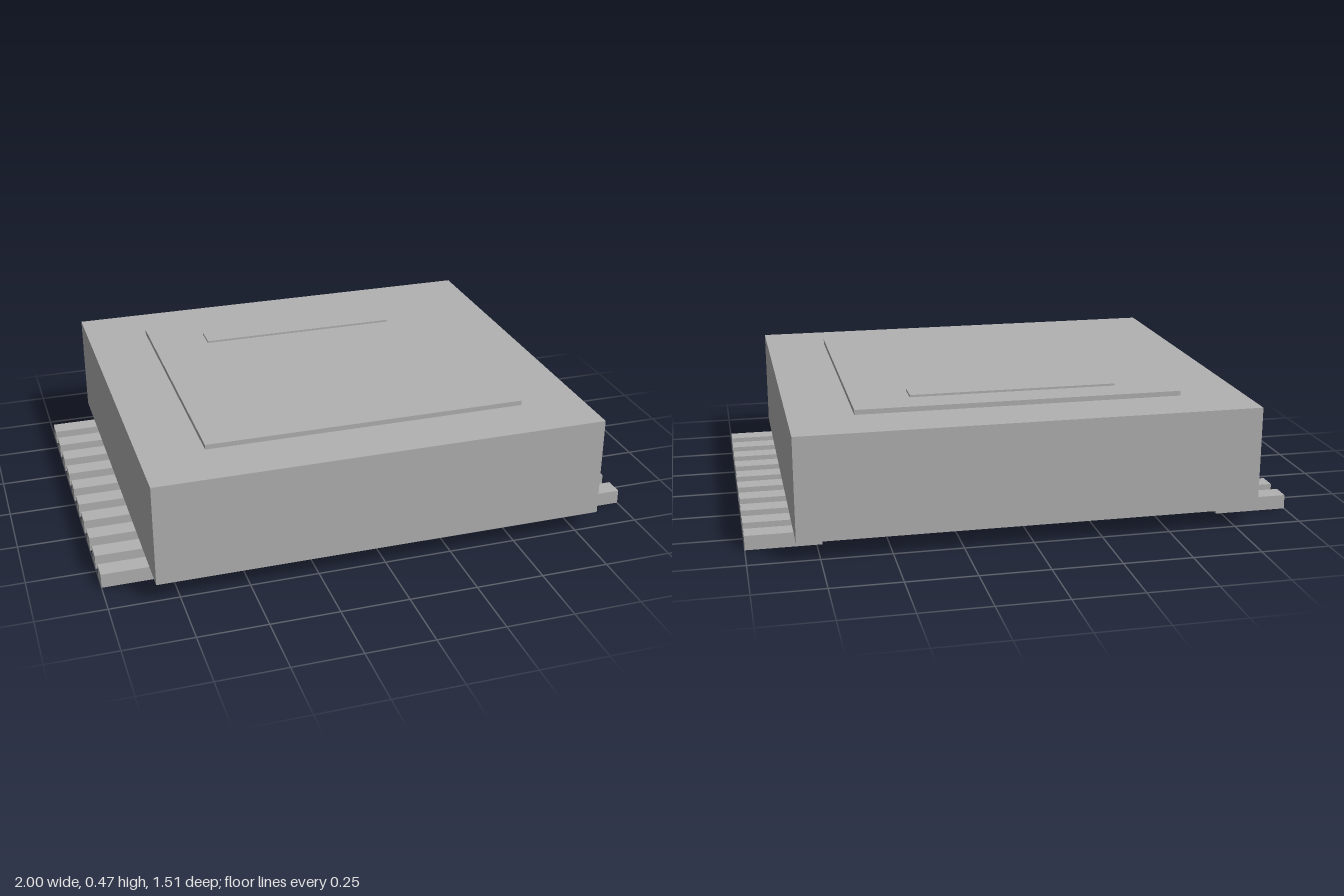
import * as THREE from 'three';

export function createModel() {
  const model = new THREE.Group();
  model.name = 'chipPackage';
  const grey = new THREE.MeshStandardMaterial({ color: 0xb2b2b2 });
  grey.name = 'plain grey';

  // Box resting on height y, centred on x and z
  function addBox(name, parent, [w, h, d], [x, y, z]) {
    const mesh = new THREE.Mesh(new THREE.BoxGeometry(w, h, d), grey);
    mesh.name = name;
    mesh.position.set(x, y + h / 2, z);
    parent.add(mesh);
  }

  // Body with a raised top plate and a marker bar towards the back
  addBox('body', model, [1.664, 0.378, 1.51], [0, 0.067, 0]);
  addBox('topPlate', model, [1.196, 0.018, 1.084], [0, 0.445, 0]);
  addBox('markerBar', model, [0.766, 0.008, 0.09], [0, 0.463, -0.376]);

  // Ten flat pins along each side, just below the body
  const pinCount = 10, pitch = 0.128;
  for (const side of [1, -1]) {
    const row = new THREE.Group();
    row.name = side > 0 ? 'leftPins' : 'rightPins';
    for (let i = 0; i < pinCount; i++) {
      const z = (i - (pinCount - 1) / 2) * pitch;
      addBox('pin', row, [0.27, 0.053, 0.071], [side * 0.865, 0, z]);
    }
    model.add(row);
  }
  return model;
}
